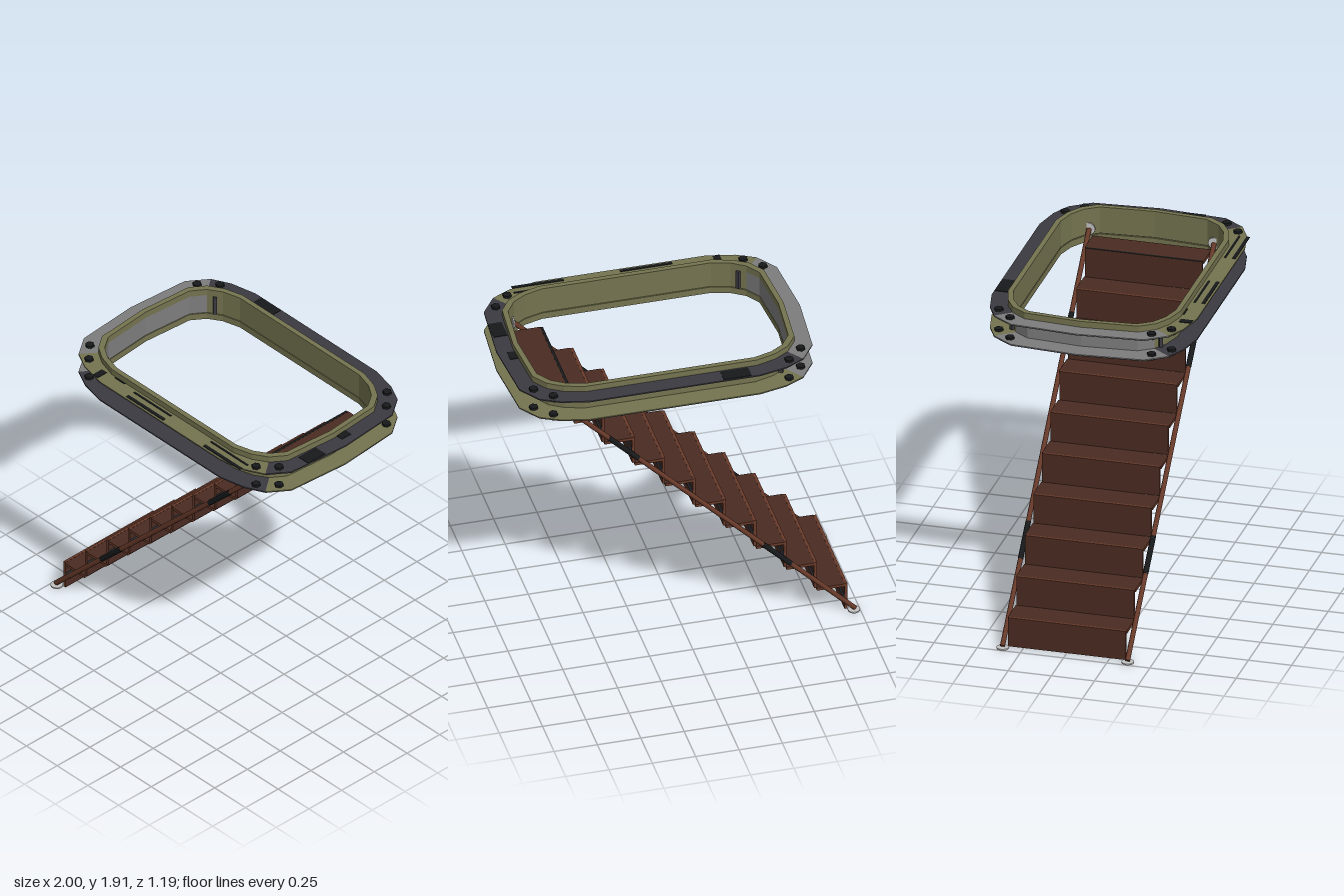
import * as THREE from 'three';

const mat = (name, color) => Object.assign(new THREE.MeshStandardMaterial({ color }), { name });

export function createModel() {
  const olive = mat('olive paint', 0x74734f);
  const grey = mat('grey metal', 0x7d7d7d);
  const dark = mat('dark steel', 0x3b3a41);
  const black = mat('black iron', 0x17191a);
  const brown = mat('brown wood', 0x4a2b21);
  const trim = mat('light brown edge', 0x683a2a);
  const pale = mat('pale pad', 0xc4c4c4);

  const model = new THREE.Group();
  const add = (parent, name, geometry, material, x = 0, y = 0, z = 0) => {
    const mesh = new THREE.Mesh(geometry, material);
    mesh.name = name;
    mesh.position.set(x, y, z);
    parent.add(mesh);
    return mesh;
  };
  const group = (name) => {
    const g = new THREE.Group();
    g.name = name;
    model.add(g);
    return g;
  };
  const box = (w, h, d) => new THREE.BoxGeometry(w, h, d);

  // ---------- Hatch ring ----------
  const ring = group('hatchRing');
  ring.position.x = 0.125;

  // Mirror one quarter outline into an 18-point loop, starting at +x and running over the front
  const loop = (q) => {
    const half = [...q, ...q.slice(1).reverse().map(([x, z]) => [-x, z])];
    return [...half, ...half.concat([[-q[0][0], 0]]).slice(1).reverse().map(([x, z]) => [x, -z])];
  };
  const flangeLine = loop([[0.875, 0], [0.845, 0.385], [0.76, 0.505], [0.65, 0.56], [0.49, 0.595]]);
  const lipLine = loop([[0.78, 0], [0.755, 0.33], [0.695, 0.415], [0.61, 0.467], [0.495, 0.5]]);
  const wallLine = loop([[0.762, 0], [0.737, 0.318], [0.68, 0.4], [0.6, 0.45], [0.49, 0.482]]);
  const innerLine = loop([[0.75, 0], [0.725, 0.31], [0.67, 0.39], [0.592, 0.44], [0.485, 0.47]]);

  // Arc of the ring between two outlines, hanging down from the height top
  const arc = (name, outer, inner, from, to, top, height, material) => {
    const pts = [];
    for (let i = from; i <= to; i++) pts.push(outer[i % 18]);
    for (let i = to; i >= from; i--) pts.push(inner[i % 18]);
    const shape = new THREE.Shape(pts.map(([x, z]) => new THREE.Vector2(x, z)));
    const geo = new THREE.ExtrudeGeometry(shape, { depth: height, bevelEnabled: false });
    add(ring, name, geo.rotateX(Math.PI / 2), material, 0, top, 0);
  };
  const sides = { front: [2, 7], left: [7, 11], back: [11, 16], right: [16, 20] };
  const upper = { front: olive, left: grey, back: dark, right: dark };
  const lower = { front: dark, left: grey, back: olive, right: olive };
  for (const [side, [a, b]] of Object.entries(sides)) {
    const wall = side === 'left' ? grey : olive;
    arc(side + 'Wall', wallLine, innerLine, a, b, 1.87, 0.12, wall);
    arc(side + 'TopLip', lipLine, innerLine, a, b, 1.91, 0.04, olive);
    arc(side + 'BottomLip', lipLine, innerLine, a, b, 1.745, 0.04, olive);
    arc(side + 'UpperFlange', flangeLine, wallLine, a, b, 1.874, 0.004, upper[side]);
    arc(side + 'UpperFlangeUnderside', flangeLine, wallLine, a, b, 1.87, 0.004, dark);
    arc(side + 'LowerFlange', flangeLine, wallLine, a, b, 1.75, 0.004, lower[side]);
    arc(side + 'LowerFlangeUnderside', flangeLine, wallLine, a, b, 1.746, 0.004, dark);
  }
  // Dark joints at the grey end of the wall
  for (const s of [-1, 1]) {
    const joint = add(ring, 'wallJoint', box(0.05, 0.115, 0.02), dark, -0.641, 1.81, s * 0.422);
    joint.rotation.y = s * 0.6;
  }

  // Hexagonal bolts through both flanges
  const boltGeo = new THREE.CylinderGeometry(0.026, 0.026, 0.036, 6);
  for (const y of [1.87, 1.746])
    for (const sx of [-1, 1])
      for (const sz of [-1, 1])
        for (const [x, z] of [[0.77, 0.41], [0.68, 0.5]])
          add(ring, 'bolt', boltGeo, black, sx * x, y, sz * z);

  // Worn marks on the upper flange: x, z, width, depth
  const marks = [
    [-0.14, 0.522, 0.3, 0.012], [-0.14, 0.573, 0.3, 0.02], [0.485, 0.522, 0.3, 0.012],
    [0.485, 0.573, 0.3, 0.02], [-0.545, 0.545, 0.04, 0.07], [-0.42, 0.507, 0.08, 0.008],
    [-0.36, -0.55, 0.16, 0.08], [0.795, -0.06, 0.05, 0.07], [0.815, 0.2, 0.08, 0.13],
  ];
  for (const [x, z, w, d] of marks) add(ring, 'wornMark', box(w, 0.003, d), black, x, 1.8755, z);

  // ---------- Stairs ----------
  const stairs = group('stairs');
  const PITCH = 0.175;
  const riserMats = [brown, brown, trim, trim, trim, trim];
  const treadMats = [trim, trim, brown, brown, trim, trim];
  const trapezoid = new THREE.Shape([[-0.06, 0.02], [-0.03, -0.02], [0.03, -0.02], [0.06, 0.02]]
    .map(([x, y]) => new THREE.Vector2(x, y)));
  const patchGeo = new THREE.ExtrudeGeometry(trapezoid, { depth: 0.002, bevelEnabled: false })
    .rotateY(Math.PI / 2);
  for (let i = 0; i < 10; i++) {
    const x = -0.925 + i * PITCH;
    const y = i * (PITCH - 0.0005);
    const mats = i === 9 ? [brown, brown, black, trim, trim, trim] : riserMats;
    add(stairs, 'riser', box(0.016, PITCH, 0.68), mats, x, y + PITCH / 2, 0);
    add(stairs, 'tread', box(0.16, 0.017, 0.69), treadMats, x + 0.088, y + PITCH - 0.0095, 0);
    // Dark band with two patches across the back of the riser
    add(stairs, 'riserBand', box(0.004, 0.04, 0.68), dark, x + 0.009, y + 0.08, 0);
    for (const z of [-0.19, 0.19]) add(stairs, 'bandPatch', patchGeo, black, x + 0.011, y + 0.08, z);
  }

  // Sloping side rails, with two black sleeves each
  const rail = (name, x0, x1, z, radius, material) => {
    const geo = new THREE.CylinderGeometry(radius, radius, (x1 - x0) * Math.SQRT2, 8);
    const mesh = add(stairs, name, geo, material, (x0 + x1) / 2, (x0 + x1) / 2 + 0.985, z);
    mesh.rotation.z = -Math.PI / 4;
  };
  const padGeo = new THREE.CylinderGeometry(0.035, 0.035, 0.008, 16);
  for (const z of [-0.362, 0.362]) {
    rail('sideRail', -0.97, 0.805, z, 0.0145, trim);
    rail('railSleeve', -0.6, -0.44, z, 0.016, black);
    rail('railSleeve', 0.28, 0.45, z, 0.016, black);
    add(stairs, 'footPad', padGeo, pale, -0.965, 0.004, z);
    add(stairs, 'wallPad', padGeo, pale, 0.808, 1.79, z).rotation.z = Math.PI / 2;
  }
  return model;
}
